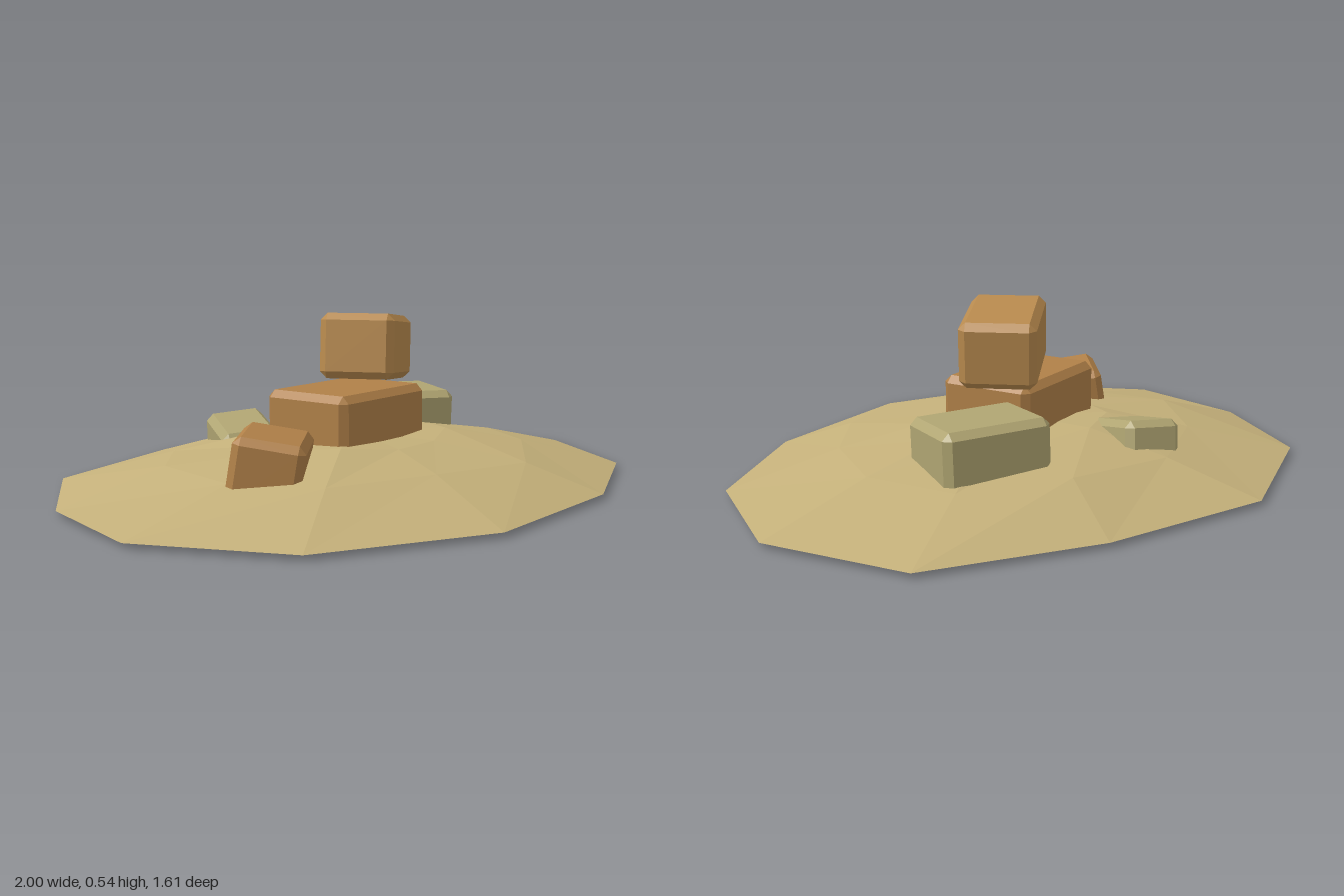
import * as THREE from 'three';
import { ConvexGeometry } from 'three/addons/geometries/ConvexGeometry.js';

const material = (name, color, flatShading = true) => {
  const m = new THREE.MeshStandardMaterial({ color, flatShading });
  m.name = name;
  return m;
};

// Box with chamfered edges: three points at each corner
function chamferedBox(w, h, d, c = 0.022) {
  const points = [];
  for (const x of [-1, 1]) for (const y of [-1, 1]) for (const z of [-1, 1]) {
    const p = [x * w / 2, y * h / 2, z * d / 2];
    const q = [x * (w / 2 - c), y * (h / 2 - c), z * (d / 2 - c)];
    for (let k = 0; k < 3; k++) {
      points.push(new THREE.Vector3(...q.map((v, i) => (i === k ? p[i] : v))));
    }
  }
  return new ConvexGeometry(points);
}

// Faceted mound: an irregular rim drawn inwards in rings up to a peak
function moundGeometry() {
  const rim = [[1, 0], [0.81, 0.42], [0.38, 0.69], [-0.19, 0.80], [-0.73, 0.62], [-1, 0.22],
    [-0.95, -0.21], [-0.71, -0.60], [-0.19, -0.81], [0.37, -0.69], [0.87, -0.45]];
  const midScale = [0.62, 0.62, 0.70, 0.59, 0.63, 0.60, 0.66, 0.62, 0.64, 0.66, 0.62];
  const n = rim.length;
  const rings = [
    rim.map(([x, z]) => [x, 0.02, z]),
    rim.map(([x, z], i) => [x * midScale[i], 0.11 + 0.008 * Math.sin(i * 2.3), z * midScale[i]]),
    rim.map(([x, z], i) => [x * 0.33, 0.158 + 0.01 * Math.sin(i * 1.9), z * 0.33]),
  ];
  const pos = [];
  const tri = (...corners) => corners.forEach((c) => pos.push(...c));
  for (let i = 0; i < n; i++) {
    const j = (i + 1) % n;
    for (let r = 0; r < 2; r++) {
      const a = rings[r], b = rings[r + 1];
      tri(a[j], a[i], b[i]);
      tri(a[j], b[i], b[j]);
    }
    tri(rings[2][j], rings[2][i], [0, 0.17, 0]);
    tri(rings[0][i], rings[0][j], [0, 0.02, 0]); // flat underside
  }
  const g = new THREE.BufferGeometry();
  g.setAttribute('position', new THREE.Float32BufferAttribute(pos, 3));
  g.computeVertexNormals();
  return g;
}

export function createModel() {
  const group = new THREE.Group();
  const sand = material('sand', 0xc4b07a);
  const brown = material('brown stone', 0xb08048);
  const lightBrown = material('light brown stone', 0xb88a4e);
  const pale = material('pale stone', 0xb0a572);

  const mound = new THREE.Mesh(moundGeometry(), sand);
  mound.name = 'mound';
  group.add(mound);

  // Tumbled blocks: name, material, size, centre, turn about y, then tilt about x and z
  const blocks = [
    ['centreBlock', brown, [0.43, 0.21, 0.31], [-0.035, 0.21, 0.0], [0, 0.19, 0]],
    ['topBlock', lightBrown, [0.345, 0.205, 0.235], [0.09, 0.43, -0.045], [0, 0.63, -0.1]],
    ['rightBlock', brown, [0.30, 0.21, 0.21], [-0.448, 0.124, 0.132], [0.16, 0.79, 0]],
    ['backBlock', pale, [0.19, 0.155, 0.235], [-0.18, 0.105, -0.355], [0.2, -0.36, 0.08]],
    ['leftBlock', pale, [0.345, 0.20, 0.26], [0.335, 0.163, -0.18], [0.03, -0.335, -0.02]],
  ];
  for (const [name, mat, size, centre, [tiltX, turn, tiltZ]] of blocks) {
    const block = new THREE.Mesh(chamferedBox(...size), mat);
    block.name = name;
    block.position.set(...centre);
    block.rotation.set(tiltX, turn, tiltZ, 'YXZ');
    group.add(block);
  }
  return group;
}
